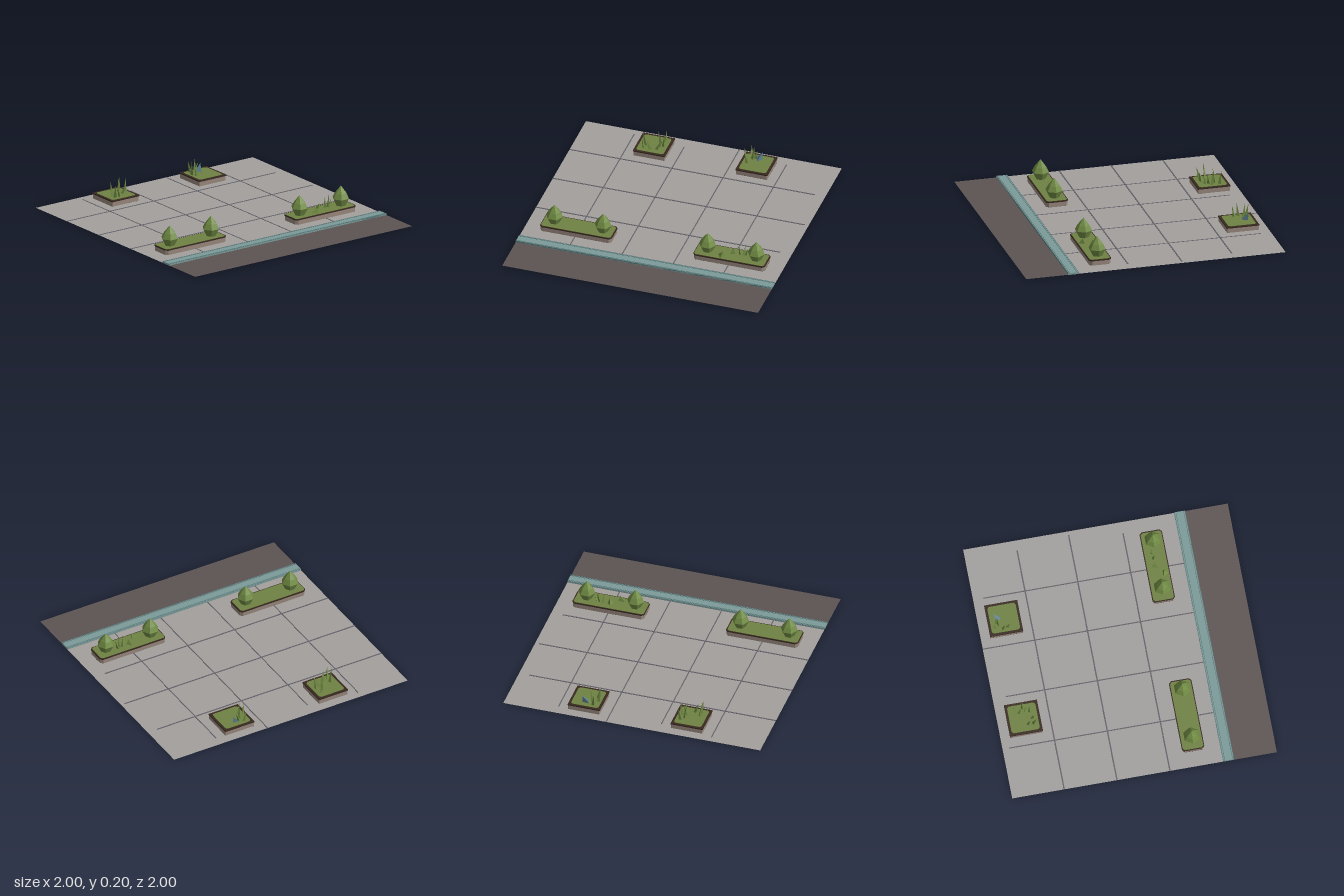
import * as THREE from 'three';

const mat = (name, color, side = THREE.FrontSide) => {
  const m = new THREE.MeshStandardMaterial({ color, side, flatShading: true });
  m.name = name;
  return m;
};

export function createModel() {
  const model = new THREE.Group();
  model.name = 'pavementSection';
  const M = {
    paving: mat('paving grey', 0xa29f9d, THREE.DoubleSide),
    road: mat('road brown grey', 0x5c5453, THREE.DoubleSide),
    joint: mat('joint grey', 0x65636a),
    curb: mat('curb teal', 0x7b9a98),
    curbEdge: mat('curb edge teal', 0x58787a),
    stone: mat('planter stone', 0x96867b),
    soil: mat('soil brown', 0x38291f),
    grass: mat('grass green', 0x6e8242),
    leaf: mat('leaf green', 0x718c44),
    flower: mat('flower blue', 0x5d7f90),
  };

  const add = (name, geo, material, x = 0, y = 0, z = 0, parent = model) => {
    const mesh = new THREE.Mesh(geo, material);
    mesh.name = name;
    mesh.position.set(x, y, z);
    parent.add(mesh);
    return mesh;
  };
  const box = (name, material, x0, x1, y0, y1, z0, z1) =>
    add(name, new THREE.BoxGeometry(x1 - x0, y1 - y0, z1 - z0), material,
      (x0 + x1) / 2, (y0 + y1) / 2, (z0 + z1) / 2);

  // Rectangle with chamfered corners, drawn in x and z
  const outline = (w, d, c, T = THREE.Shape) => new T([
    [w / 2 - c, -d / 2], [w / 2, -d / 2 + c], [w / 2, d / 2 - c], [w / 2 - c, d / 2],
    [-w / 2 + c, d / 2], [-w / 2, d / 2 - c], [-w / 2, -d / 2 + c], [-w / 2 + c, -d / 2],
  ].map(([a, b]) => new THREE.Vector2(a, b)));
  const slab = (shape, h) =>
    new THREE.ExtrudeGeometry(shape, { depth: h, bevelEnabled: false }).rotateX(-Math.PI / 2);

  // Flat ground sheets
  const sheet = (name, material, z0, z1, y) =>
    add(name, new THREE.PlaneGeometry(2, z1 - z0).rotateX(-Math.PI / 2), material, 0, y, (z0 + z1) / 2);
  sheet('paving', M.paving, -1, 0.61, 0.002);
  sheet('road', M.road, 0.67, 1, 0.002);

  // Paving joints
  [[-0.605, -0.95], [-0.2, -0.9], [0.2, -1], [0.595, -0.92]].forEach(([x, z]) =>
    box('jointLengthwise', M.joint, x - 0.004, x + 0.004, 0, 0.004, z, 0.6));
  [[-0.607, 0.92], [-0.208, 0.97], [0.192, 0.91]].forEach(([z, x]) =>
    box('jointCrosswise', M.joint, -1, x, 0, 0.0045, z - 0.005, z + 0.005));

  // Curb with darker edges
  box('curb', M.curb, -1, 1, 0, 0.014, 0.593, 0.677);
  [0.597, 0.607, 0.666, 0.675].forEach(z =>
    box('curbEdge', M.curbEdge, -1, 1, 0, 0.0155, z - 0.002, z + 0.002));

  // Planter: stone walls, dark rim, grass bed
  const planter = (name, x, z, w, d, chamfer, rim, dx) => {
    const g = new THREE.Group();
    g.name = name;
    g.position.set(x, 0, z);
    model.add(g);
    add('planterWall', slab(outline(w - 0.006, d - 0.006, chamfer), 0.037), M.stone, 0, 0.001, 0, g);
    add('planterRim', slab(outline(w, d, chamfer), 0.009), M.soil, 0, 0.037, 0, g);
    add('planterBase', slab(outline(w - 0.004, d - 0.004, chamfer), 0.002), M.soil, 0, 0, 0, g);
    add('grassBed', slab(outline(w - 2 * rim, d - 2 * rim, 0.014), 0.004), M.grass, dx, 0.0435, 0, g);
    return g;
  };
  const squareLeft = planter('squarePlanterLeft', 0.397, -0.805, 0.25, 0.25, 0.002, 0.018, 0);
  const squareRight = planter('squarePlanterRight', -0.405, -0.805, 0.25, 0.25, 0.002, 0.018, 0);
  const longLeft = planter('longPlanterLeft', 0.597, 0.392, 0.56, 0.17, 0.018, 0.007, -0.002);
  const longRight = planter('longPlanterRight', -0.6, 0.392, 0.56, 0.17, 0.018, 0.007, -0.002);

  // Faceted bushes, a pair in each long planter
  const bushGeo = new THREE.LatheGeometry([[0, 0], [0.036, 0], [0.066, 0.06], [0.045, 0.1], [0, 0.157]]
    .map(([r, y]) => new THREE.Vector2(r, y)), 6, Math.PI / 6 * 3);
  [longLeft, longRight].forEach(g => [-0.19, 0.19].forEach(x =>
    add('bush', bushGeo, M.leaf, x, 0.043, 0.002, g)));

  // Three-sided blades: x, z, height, radius, lean in x, lean in z
  const blades = (g, list, material = M.leaf) => list.forEach(([x, z, h, r, lx, lz], i) => {
    const geo = new THREE.ConeGeometry(r, h, 3).rotateY(i * 1.3).translate(0, h / 2, 0);
    add('grassBlade', geo, material, x, 0.043, z, g).rotation.set(lz, 0, -lx);
  });
  blades(squareRight, [
    [0.07, -0.055, 0.11, 0.013, 0.1, -0.1], [0.045, -0.03, 0.125, 0.013, -0.1, 0.15],
    [0.075, 0.005, 0.12, 0.013, 0.12, 0], [0.045, 0.02, 0.08, 0.014, 0.3, 0.2],
    [-0.055, 0.025, 0.13, 0.013, -0.15, 0.05], [-0.055, 0.065, 0.11, 0.015, -0.1, 0.2],
    [-0.01, 0.065, 0.08, 0.017, -0.25, 0.1], [0.04, 0.055, 0.07, 0.014, 0.35, 0],
  ]);
  blades(squareLeft, [
    [-0.085, -0.02, 0.12, 0.014, -0.1, 0.1], [-0.07, 0.015, 0.09, 0.014, -0.15, 0.15],
    [-0.045, -0.045, 0.115, 0.015, 0.1, -0.1], [-0.06, -0.075, 0.1, 0.015, -0.1, -0.2],
    [-0.03, -0.06, 0.08, 0.014, 0.3, 0],
  ]);
  blades(squareLeft, [[0.0, -0.05, 0.07, 0.032, 0.4, -0.3]], M.flower);
  blades(longLeft, [
    [-0.07, 0.045, 0.05, 0.032, 0.3, 0], [0, -0.02, 0.05, 0.028, 0.1, 0.1],
    [0.06, -0.02, 0.095, 0.012, -0.1, 0.1], [0.085, -0.015, 0.1, 0.012, 0.15, -0.1],
    [0.1, -0.025, 0.07, 0.013, 0.25, 0.1],
  ]);
  return model;
}
